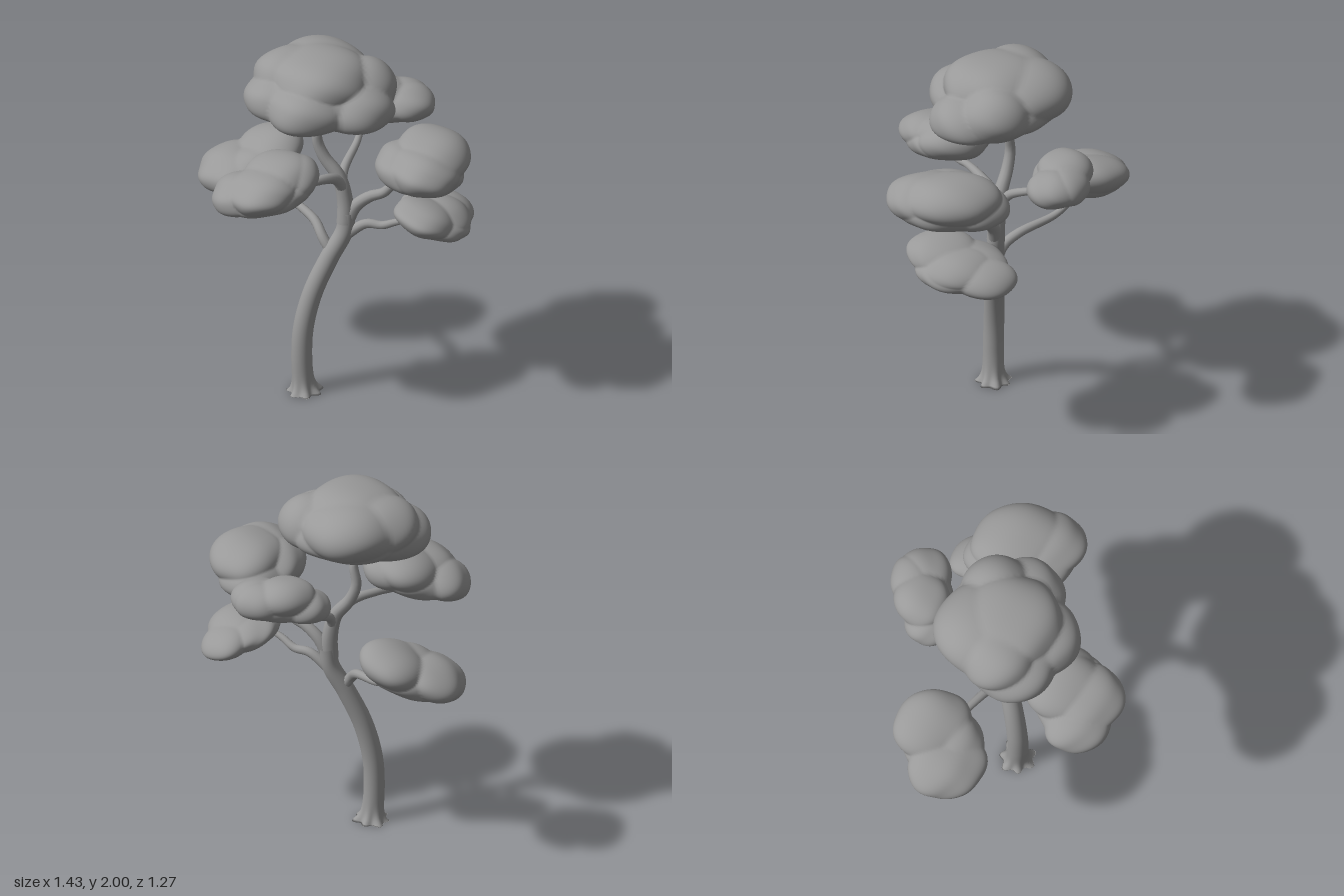
import * as THREE from 'three';
import { mergeVertices } from 'three/addons/utils/BufferGeometryUtils.js';

const grey = new THREE.MeshStandardMaterial({ color: 0x999999 });
grey.name = 'plain grey';

function smoothMesh(name, geometry) {
  geometry.deleteAttribute('uv');
  geometry.deleteAttribute('normal');
  const merged = mergeVertices(geometry, 1e-5);
  merged.computeVertexNormals();
  const mesh = new THREE.Mesh(merged, grey);
  mesh.name = name;
  return mesh;
}

const curveThrough = points => new THREE.CatmullRomCurve3(points.map(p => new THREE.Vector3(...p)));

// Tube along a curve whose radius is given by radiusAt(t, angle, centre)
function limb(name, curve, seg, sides, radiusAt) {
  const g = new THREE.TubeGeometry(curve, seg, 1, sides);
  const pos = g.attributes.position, normal = new THREE.Vector3();
  for (let id = 0; id < pos.count; id++) {
    const i = Math.floor(id / (sides + 1)), j = id % (sides + 1);
    const centre = curve.getPointAt(i / seg);
    normal.fromBufferAttribute(g.attributes.normal, id);
    const p = normal.multiplyScalar(radiusAt(i / seg, j / sides * Math.PI * 2, centre)).add(centre);
    pos.setXYZ(id, p.x, Math.max(p.y, 0), p.z);
  }
  return smoothMesh(name, g);
}

// Tapering branch with a thin twig that forks off near its end
function branch(name, points, thick, twigTip) {
  const group = new THREE.Group();
  group.name = name;
  const curve = curveThrough(points);
  const thin = 0.01;
  group.add(limb('bough', curve, 28, 12, t => thin + (thick - thin) * Math.pow(1 - t, 0.8)));
  const start = curve.getPointAt(0.76), tip = new THREE.Vector3(...twigTip);
  const bend = start.clone().lerp(tip, 0.55);
  bend.y -= 0.015;
  const twigCurve = new THREE.CatmullRomCurve3([start, bend, tip]);
  group.add(limb('twig', twigCurve, 12, 8, t => 0.015 - 0.007 * t));
  return group;
}

// Foliage pad: outer envelope of overlapping lobes with a flat underside, tilted by a rise along x.
// A lobe [sx, sz, rx, rz, top] sits in a box of -1..1; sx or sz of 1 touches the box side.
function foliage(name, centre, half, rise, lobes) {
  const ellipsoids = lobes.map(([sx, sz, rx, rz, top]) => ({
    c: new THREE.Vector3(sx * (1 - rx), top - 0.85, sz * (1 - rz)),
    r: new THREE.Vector3(rx, 0.85, rz),
  }));
  const middle = new THREE.Vector3(0, -0.3, 0);
  ellipsoids.push({ c: middle, r: new THREE.Vector3(0.85, 0.9, 0.85) });
  const g = new THREE.IcosahedronGeometry(1, 20);
  const pos = g.attributes.position, d = new THREE.Vector3();
  for (let i = 0; i < pos.count; i++) {
    d.fromBufferAttribute(pos, i);
    let reach = 0;
    for (const { c, r } of ellipsoids) {
      const o = middle.clone().sub(c).divide(r), e = d.clone().divide(r);
      const a = e.dot(e), b = o.dot(e), disc = b * b - a * (o.dot(o) - 1);
      if (disc > 0) reach = Math.max(reach, (Math.sqrt(disc) - b) / a);
    }
    const bump = Math.sin(d.x * 6 + d.y * 2) * Math.sin(d.z * 6 - d.y * 3 + 1);
    d.multiplyScalar(reach * (1 + 0.025 * bump)).add(middle);
    if (d.y < -0.4) d.y = -0.4 - 0.6 * Math.tanh((-0.4 - d.y) / 0.6);
    pos.setXYZ(i, d.x * half[0], d.y * half[1] + d.x * rise, d.z * half[2]);
  }
  g.translate(...centre);
  return smoothMesh(name, g);
}

export function createModel() {
  const tree = new THREE.Group();
  tree.name = 'tree';

  // Curved trunk with root toes, closed at the ground
  const trunkCurve = curveThrough([
    [-0.185, -0.03, 0.075], [-0.2, 0.2, 0.075], [-0.19, 0.38, 0.072],
    [-0.14, 0.58, 0.068], [-0.05, 0.78, 0.063], [0.03, 0.93, 0.06], [0.045, 1.04, 0.055],
  ]);
  tree.add(limb('trunk', trunkCurve, 64, 56, (t, a, c) => {
    const flare = Math.exp(-Math.max(c.y, 0) / 0.032);
    const toes = 0.033 + 0.013 * Math.cos(7 * a) + 0.006 * Math.sin(3 * a);
    return t === 0 ? 0 : 0.056 - 0.01 * t * t + flare * toes;
  }));

  // Branches: path, starting radius, tip of the twig
  tree.add(branch('topBranch', [[0.035, 0.98, 0.06], [0.035, 1.1, 0.05], [0.005, 1.24, 0.035],
    [-0.07, 1.35, 0], [-0.105, 1.45, -0.015], [-0.095, 1.58, 0], [-0.19, 1.66, 0.03], [-0.24, 1.73, 0.06]],
    0.047, [0.06, 1.7, -0.02]));
  tree.add(branch('highRightBranch', [[0.03, 1.17, 0.045], [-0.02, 1.25, 0.08], [-0.1, 1.285, 0.14],
    [-0.22, 1.29, 0.21], [-0.32, 1.28, 0.28], [-0.42, 1.35, 0.33]], 0.032, [-0.3, 1.4, 0.2]));
  tree.add(branch('highLeftBranch', [[0.045, 0.99, 0.06], [0.09, 1.08, 0.07], [0.16, 1.145, 0.1],
    [0.23, 1.18, 0.13], [0.3, 1.27, 0.17], [0.42, 1.39, 0.28]], 0.038, [0.46, 1.38, 0.12]));
  tree.add(branch('rearLeftBranch', [[0.02, 1.17, 0.045], [0.035, 1.25, -0.01], [0.13, 1.34, -0.16],
    [0.17, 1.41, -0.22], [0.25, 1.5, -0.28]], 0.028, [0.15, 1.49, -0.31]));
  tree.add(branch('lowLeftBranch', [[0.03, 0.9, 0.06], [0.14, 0.985, 0.1], [0.22, 0.99, 0.14],
    [0.29, 1.03, 0.19], [0.43, 1.09, 0.27]], 0.03, [0.5, 1.05, 0.13]));
  tree.add(branch('lowRightBranch', [[-0.035, 0.8, 0.06], [-0.08, 0.88, 0.02], [-0.11, 0.94, -0.06],
    [-0.22, 0.99, -0.25], [-0.28, 1.04, -0.33], [-0.44, 1.1, -0.44]], 0.03, [-0.29, 1.17, -0.45]));

  // Foliage pads: centre, half size, rise, lobes
  tree.add(foliage('topFoliage', [-0.095, 1.82, 0.04], [0.405, 0.18, 0.38], 0, [
    [-1, -0.1, 0.6, 0.65, 0.4], [0.1, -1, 0.65, 0.65, 0.85], [1, 0.1, 0.45, 0.5, 0.65],
    [0.8, 0.9, 0.52, 0.55, 0.3], [-0.5, 1, 0.55, 0.6, 0.4], [0, 0.2, 0.65, 0.75, 1],
    [-0.7, -0.5, 0.55, 0.55, 0.85]]));
  tree.add(foliage('highLeftFoliage', [0.415, 1.45, 0.305], [0.255, 0.14, 0.325], -0.01, [
    [-0.2, 1, 0.75, 0.72, 0.75], [1, -0.4, 0.78, 0.78, 1], [-1, 0.1, 0.7, 0.75, 0.6],
    [0.3, -1, 0.7, 0.6, 0.5]]));
  tree.add(foliage('lowLeftFoliage', [0.485, 1.1, 0.23], [0.225, 0.1, 0.29], -0.045, [
    [-1, 1, 0.7, 0.65, 0.9], [1, -1, 0.58, 0.58, 0.5], [0.6, 0.1, 0.65, 0.65, 0.75]]));
  tree.add(foliage('rearLeftFoliage', [0.295, 1.52, -0.285], [0.265, 0.115, 0.175], 0, [
    [-1, -0.5, 0.5, 0.75, 0.4], [-0.25, -1, 0.6, 0.85, 1], [1, 1, 0.55, 0.85, 0.7],
    [0.8, -0.7, 0.55, 0.7, 0.75]]));
  tree.add(foliage('lowRightFoliage', [-0.4, 1.15, -0.41], [0.28, 0.125, 0.23], 0.065, [
    [-1, 0, 0.6, 0.94, 0.7], [1, -1, 0.64, 0.93, 1], [0, 1, 0.6, 0.7, 0.75]]));
  tree.add(foliage('highRightFoliage', [-0.425, 1.375, 0.32], [0.285, 0.125, 0.26], 0.045, [
    [-1, -0.3, 0.5, 0.7, 0.55], [0.6, -0.8, 0.65, 0.8, 1], [-0.3, 1, 0.65, 0.8, 0.85],
    [1, -0.4, 0.5, 0.7, 0.8]]));

  return tree;
}
